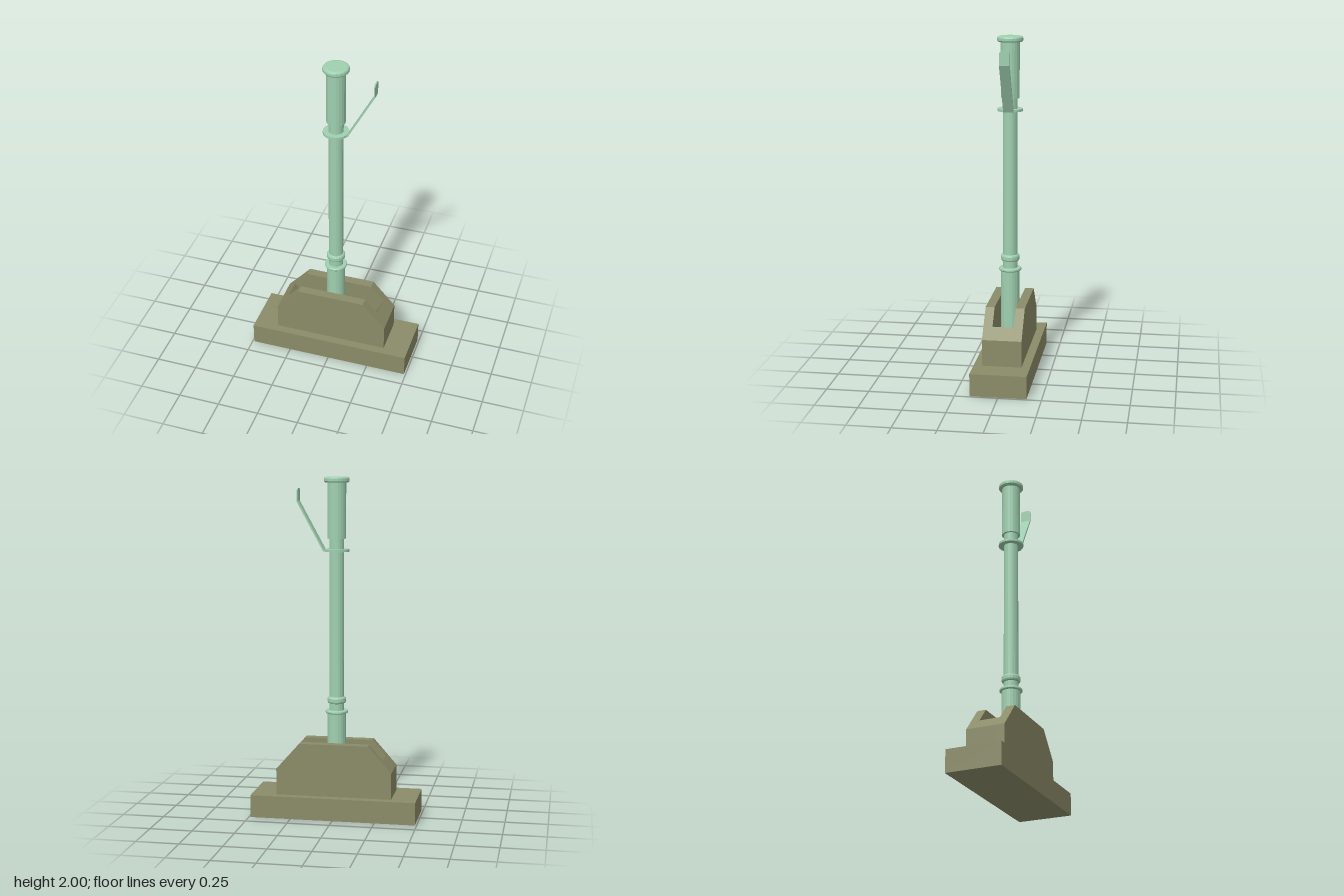
import * as THREE from 'three';

const material = (color) => new THREE.MeshStandardMaterial({ color, flatShading: true });

export function createModel() {
  const model = new THREE.Group();
  const olive = material(0x8b8c68);
  const green = material(0x9fd0b0);

  function add(parent, name, geometry, mat) {
    const mesh = new THREE.Mesh(geometry, mat);
    mesh.name = name;
    parent.add(mesh);
    return mesh;
  }

  // Extrudes an x/y outline between two z positions
  function slab(points, z0, z1) {
    const shape = new THREE.Shape(points.map(([x, y]) => new THREE.Vector2(x, y)));
    return new THREE.ExtrudeGeometry(shape, { depth: z1 - z0, bevelEnabled: false }).translate(0, 0, z0);
  }

  // Mirrors the right half of an outline to a closed counterclockwise one
  const mirrored = (half) => [...half, ...half.map(([x, y]) => [-x, y]).reverse()];

  // Floor plate
  add(model, 'basePlate', new THREE.BoxGeometry(0.98, 0.133, 0.328).translate(0, 0.0665, 0), olive);

  // Slotted housing: two cheeks and a recessed core
  const housing = new THREE.Group();
  housing.name = 'housing';
  model.add(housing);
  const cheek = mirrored([[0.343, 0.133], [0.343, 0.289], [0.205, 0.445]]);
  add(housing, 'leftCheek', slab(cheek, 0.062, 0.115), olive);
  add(housing, 'rightCheek', slab(cheek, -0.115, -0.062), olive);
  const core = mirrored([[0.343, 0.133], [0.343, 0.289], [0.286, 0.353], [0.205, 0.2]]);
  add(housing, 'slotFloor', slab(core, -0.062, 0.062), olive);

  // Lever
  const lever = new THREE.Group();
  lever.name = 'lever';
  model.add(lever);
  const profile = [
    [0, 0.19], [0.055, 0.19], [0.055, 0.617], // socket
    [0.063, 0.617], [0.067, 0.622], [0.067, 0.63], [0.063, 0.635], // lower collar
    [0.043, 0.635], [0.043, 0.675],
    [0.051, 0.678], [0.055, 0.686], [0.055, 0.705], [0.051, 0.713], // bead
    [0.043, 0.716], [0.043, 1.57],
    [0.075, 1.57], [0.075, 1.584], // guard ring
    [0.043, 1.584], [0.043, 1.645],
    [0.055, 1.645], [0.055, 1.968], // grip
    [0.069, 1.968], [0.075, 1.975], [0.075, 1.99], [0.071, 1.997], [0.062, 2], [0, 2], // cap
  ];
  add(lever, 'shaft', new THREE.LatheGeometry(profile.map(([r, y]) => new THREE.Vector2(r, y)), 20), green);

  // Release catch: sloping strip and upright finger tab
  const strip = [[0.066, 1.572], [0.075, 1.57], [0.231, 1.856], [0.231, 1.862], [0.224, 1.862]];
  add(lever, 'catchArm', slab(strip, -0.03, 0.03), green);
  const tab = mirrored([[0.03, 1.86], [0.03, 1.924], [0.027, 1.931], [0.02, 1.934]]);
  const tabMesh = add(lever, 'catchTab', slab(tab, 0.224, 0.231), green);
  tabMesh.rotation.y = Math.PI / 2;

  return model;
}
